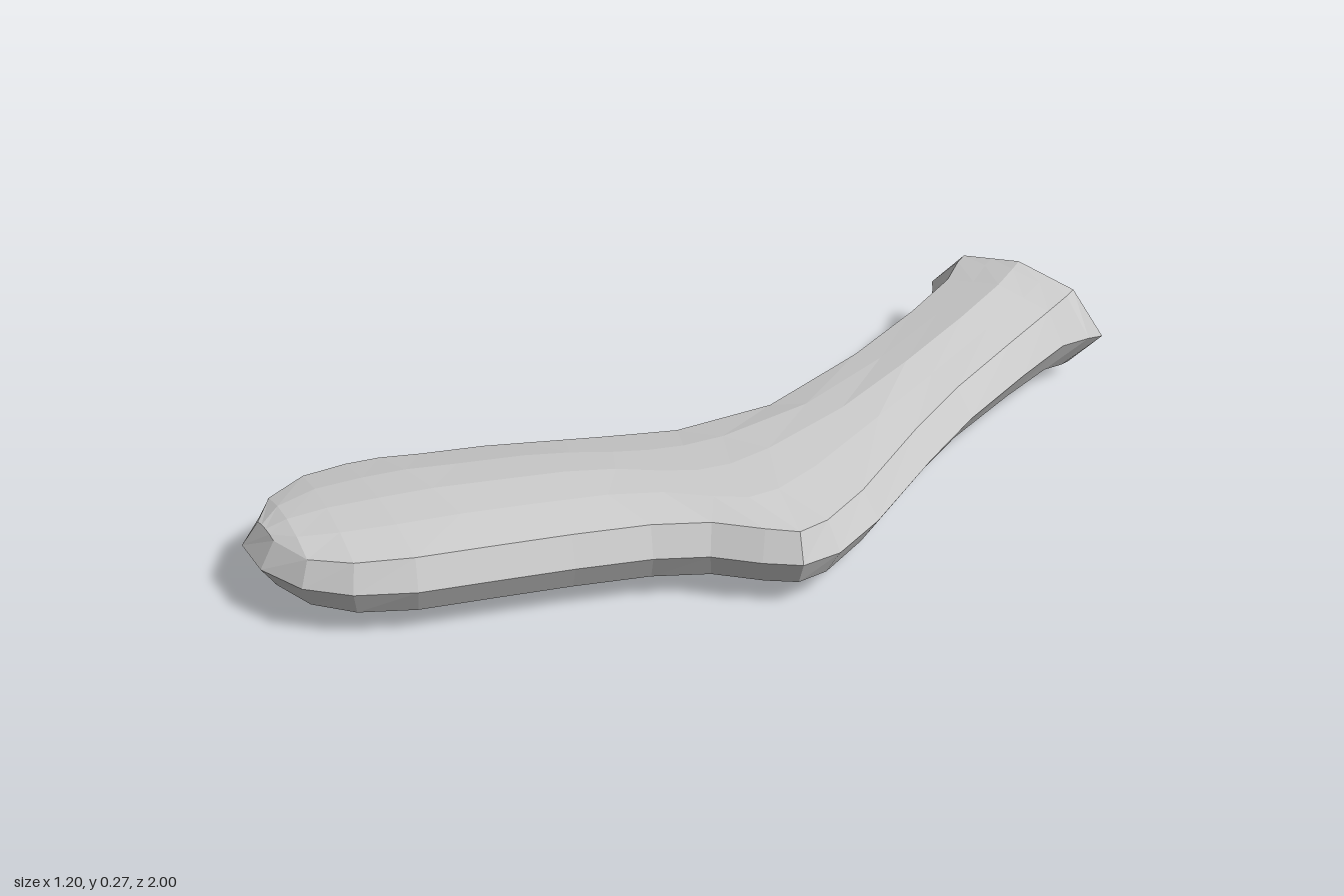
import * as THREE from 'three';

const MID = 0.14; // height of the seam that runs round the sock

// Sections from mouth to toe:
// [left x, left z, right x, right z, half height, shoulder height, shoulder inset]
const SECTIONS = [
  [0.10, -1.00, 0.597, -1.00, 0.137, 0.105, 0.09],
  [0.12, -0.97, 0.575, -0.97, 0.128, 0.100, 0.07],
  [0.155, -0.90, 0.54, -0.90, 0.115, 0.085, 0.047],
  [0.16, -0.72, 0.53, -0.72, 0.105, 0.077, 0.045],
  [0.15, -0.47, 0.525, -0.47, 0.098, 0.071, 0.045],
  [0.11, -0.16, 0.54, -0.25, 0.098, 0.070, 0.045],
  [0.00, 0.05, 0.572, 0.04, 0.101, 0.070, 0.042],
  [-0.06, 0.11, 0.57, 0.20, 0.103, 0.070, 0.04],
  [-0.12, 0.17, 0.53, 0.29, 0.104, 0.068, 0.035],
  [-0.18, 0.23, 0.45, 0.335, 0.104, 0.070, 0.035],
  [-0.25, 0.295, 0.34, 0.38, 0.105, 0.070, 0.035],
  [-0.32, 0.36, 0.24, 0.46, 0.105, 0.070, 0.035],
  [-0.42, 0.47, 0.12, 0.59, 0.105, 0.070, 0.035],
  [-0.49, 0.54, 0.00, 0.73, 0.105, 0.070, 0.035],
  [-0.54, 0.61, -0.11, 0.86, 0.102, 0.070, 0.035],
  [-0.59, 0.71, -0.22, 0.95, 0.095, 0.066, 0.03],
  [-0.60, 0.83, -0.33, 0.995, 0.085, 0.060, 0.03],
  [-0.555, 0.94, -0.455, 0.99, 0.066, 0.060, 0.04],
];

// Shoulder points: the plan outline moved inwards along its normal
function makeShoulders() {
  const left = SECTIONS.map((s) => new THREE.Vector2(s[0], s[1]));
  const right = SECTIONS.map((s) => new THREE.Vector2(s[2], s[3]));
  const loop = [...left, ...right.slice().reverse()];
  const n = loop.length;
  return loop.map((p, k) => {
    const i = k < n / 2 ? k : n - 1 - k;
    const t = loop[(k + 1) % n].clone().sub(loop[(k + n - 1) % n]).normalize();
    const inward = i < 3 ? new THREE.Vector2(k === i ? 1 : -1, 0) : new THREE.Vector2(t.y, -t.x);
    return p.clone().addScaledVector(inward, SECTIONS[i][6]);
  });
}

// Twelve-point rings: side seam, shoulders and a crowned top, mirrored below
function makeRings() {
  const shoulders = makeShoulders();
  return SECTIONS.map(([lx, lz, rx, rz, high, low], i) => {
    const a = shoulders[i];
    const b = shoulders[shoulders.length - 1 - i];
    const crown = i < 5 ? 0.5 : 0.75;
    const across = (t, h) => {
      const p = a.clone().lerp(b, t);
      return [p.x, h, p.y];
    };
    const quarter = low + (high - low) * crown;
    const top = [across(0, low), across(0.25, quarter), across(0.5, high), across(0.75, quarter), across(1, low)];
    const bottom = top.map(([x, h, z]) => [x, -h, z]).reverse();
    return [[lx, 0, lz], ...top, [rx, 0, rz], ...bottom]
      .map(([x, h, z]) => new THREE.Vector3(x, MID + h, z));
  });
}

// Skin a list of rings, with optional flat caps
function loft(rings, capStart, capEnd) {
  const n = rings[0].length;
  const index = [];
  for (let i = 0; i < rings.length - 1; i++) {
    for (let j = 0; j < n; j++) {
      const k = (j + 1) % n;
      const a = i * n + j, b = i * n + k, c = b + n, d = a + n;
      index.push(a, d, c, a, c, b);
    }
  }
  const last = (rings.length - 1) * n;
  for (let j = 1; j < n - 1; j++) {
    if (capStart) index.push(0, j, j + 1);
    if (capEnd) index.push(last, last + j + 1, last + j);
  }
  const geo = new THREE.BufferGeometry().setFromPoints(rings.flat());
  geo.setIndex(index);
  const flat = geo.toNonIndexed();
  flat.computeVertexNormals();
  return flat;
}

// Shrink a ring about its own centre
function shrink(ring, f) {
  const c = ring[0].clone().lerp(ring[6], 0.5);
  return ring.map((p) => p.clone().sub(c).multiplyScalar(f).add(c));
}

export function createModel() {
  const group = new THREE.Group();
  group.name = 'sock';
  const material = new THREE.MeshStandardMaterial({ color: 0xcccccc, flatShading: true });
  const add = (name, geometry) => {
    const mesh = new THREE.Mesh(geometry, material);
    mesh.name = name;
    group.add(mesh);
  };

  const rings = makeRings();
  const lining = rings.slice(0, 8).map((r) => shrink(r, 0.86));

  // Outer leg, heel, foot and closed toe
  add('sockBody', loft(rings, false, true));
  // Flat rim of the open cuff
  add('cuffRim', loft([lining[0], rings[0]], false, false));
  // Hollow inside of the leg, closed near the heel
  add('lining', loft(lining.slice().reverse(), true, false));
  return group;
}
